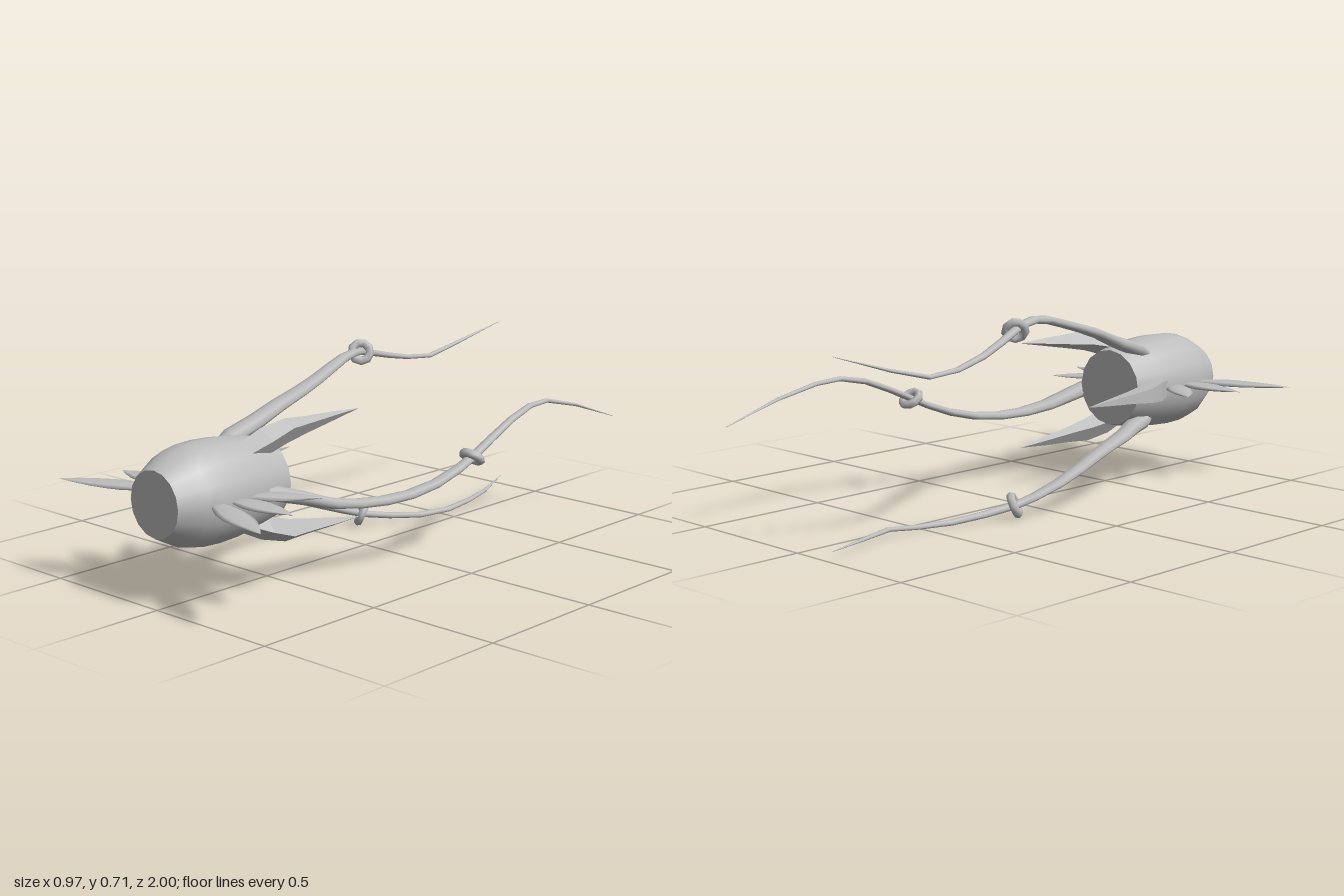
import * as THREE from 'three';

const CENTRE_Y = 0.37;

// Skin over rings: each section is [centre, u, v], with u x v along the path.
function loft(sections, sides, phase = 0, flat = false) {
  const pos = [], idx = [];
  for (const [c, u, v] of sections) {
    for (let j = 0; j < sides; j++) {
      const a = phase + (j / sides) * Math.PI * 2;
      const p = c.clone().addScaledVector(u, Math.cos(a)).addScaledVector(v, Math.sin(a));
      pos.push(p.x, p.y, p.z);
    }
  }
  for (let i = 0; i < sections.length - 1; i++) {
    for (let j = 0; j < sides; j++) {
      const k = (j + 1) % sides;
      const a = i * sides + j, b = i * sides + k;
      idx.push(a, b, a + sides, b, b + sides, a + sides);
    }
  }
  let g = new THREE.BufferGeometry();
  g.setAttribute('position', new THREE.Float32BufferAttribute(pos, 3));
  g.setIndex(idx);
  if (flat) g = g.toNonIndexed();
  g.computeVertexNormals();
  return g;
}

const V = (x, y, z) => new THREE.Vector3(x, y, z);

export function createModel() {
  const model = new THREE.Group();
  const rig = new THREE.Group();
  rig.name = 'creature';
  rig.position.y = CENTRE_Y;
  model.add(rig);

  const grey = new THREE.MeshStandardMaterial({ color: 0xbdbdbd });
  grey.name = 'grey';
  const add = (name, geometry, parent = rig) => {
    const m = new THREE.Mesh(geometry, grey);
    m.name = name;
    parent.add(m);
    return m;
  };

  // Barrel body along z, with flat ends
  const profile = [[0.143, 0.52], [0.163, 0.62], [0.173, 0.7], [0.177, 0.78],
    [0.174, 0.85], [0.164, 0.905], [0.115, 1]].map(([r, z]) => new THREE.Vector2(r, z));
  add('body', new THREE.LatheGeometry(profile, 16).rotateX(Math.PI / 2));
  add('frontCap', new THREE.CircleGeometry(0.115, 16)).position.z = 1;
  const back = add('backCap', new THREE.CircleGeometry(0.143, 16));
  back.position.z = 0.52;
  back.rotation.y = Math.PI;

  // Tentacle: x, y, z, half width, half height
  const path = [
    [0.125, 0, 0.67, 0.03, 0.02],
    [0.155, -0.015, 0.6, 0.044, 0.028],
    [0.18, -0.045, 0.5, 0.043, 0.025],
    [0.212, -0.078, 0.4, 0.041, 0.02],
    [0.238, -0.095, 0.3, 0.038, 0.017],
    [0.267, -0.1, 0.2, 0.035, 0.016],
    [0.3, -0.092, 0.1, 0.032, 0.015],
    [0.33, -0.068, 0, 0.028, 0.014],
    [0.35, -0.03, -0.1, 0.024, 0.013],
    [0.357, 0.002, -0.17, 0.021, 0.013],
    [0.354, 0.05, -0.28, 0.019, 0.012],
    [0.345, 0.095, -0.4, 0.017, 0.011],
    [0.328, 0.122, -0.53, 0.015, 0.009],
    [0.314, 0.12, -0.65, 0.012, 0.008],
    [0.335, 0.083, -0.8, 0.009, 0.006],
    [0.365, 0.01, -1, 0.0008, 0.0008],
  ];
  const axisZ = V(0, 0, 1);
  const ringNormal = V(0, 0.8, -0.6);
  for (let i = 0; i < 3; i++) {
    const angle = (i * Math.PI * 2) / 3;
    const sections = path.map(([x, y, z, w, h]) =>
      [V(x, y, z).applyAxisAngle(axisZ, angle), V(w, 0, 0), V(0, -h, 0)]);
    add('tentacle' + (i + 1), loft(sections, 8));

    // Ring threaded on the tentacle
    const ring = add('tentacleRing' + (i + 1), new THREE.TorusGeometry(0.034, 0.016, 6, 9));
    ring.position.copy(V(0.355, 0.002, -0.17).applyAxisAngle(axisZ, angle));
    ring.quaternion.setFromUnitVectors(axisZ, ringNormal.clone().applyAxisAngle(axisZ, angle));
  }

  // Thorns between the tentacles: radius, z, radial half, tangential half
  const thorn = [
    [0.14, 0.67, 0.02, 0.03],
    [0.172, 0.59, 0.03, 0.036],
    [0.2, 0.5, 0.032, 0.027],
    [0.207, 0.4, 0.022, 0.018],
    [0.217, 0.28, 0.012, 0.01],
    [0.225, 0.16, 0.0008, 0.0008],
  ].map(([r, z, a, b]) => [V(r, 0, z), V(a * Math.SQRT2, 0, 0), V(0, -b * Math.SQRT2, 0)]);
  const thornGeometry = loft(thorn, 4, Math.PI / 4, true);
  for (let i = 0; i < 3; i++) {
    add('thorn' + (i + 1), thornGeometry).rotation.z = Math.PI / 3 + (i * Math.PI * 2) / 3;
  }

  // Leaf-shaped side fins: root x, root z, tip x, tip z, half width
  const fins = [
    [0.13, 0.855, 0.487, 0.997, 0.052],
    [0.13, 0.785, 0.412, 0.783, 0.054],
    [0.13, 0.735, 0.342, 0.568, 0.047],
  ];
  const leaf = [[0, 0.35], [0.18, 0.7], [0.35, 0.96], [0.5, 1], [0.65, 0.85], [0.82, 0.5], [1, 0.01]];
  for (const side of [1, -1]) {
    fins.forEach(([rx, rz, tx, tz, w], n) => {
      const root = V(side * rx, 0, rz), tip = V(side * tx, 0, tz);
      const across = V(0, 1, 0).cross(tip.clone().sub(root).normalize());
      const sections = leaf.map(([t, k]) => [
        root.clone().lerp(tip, t),
        across.clone().multiplyScalar(w * k),
        V(0, 0.012 * Math.min(k, 1.15 - t * 0.9) + 0.0005, 0),
      ]);
      add((side > 0 ? 'left' : 'right') + 'Fin' + (n + 1), loft(sections, 8));
    });
  }

  return model;
}
